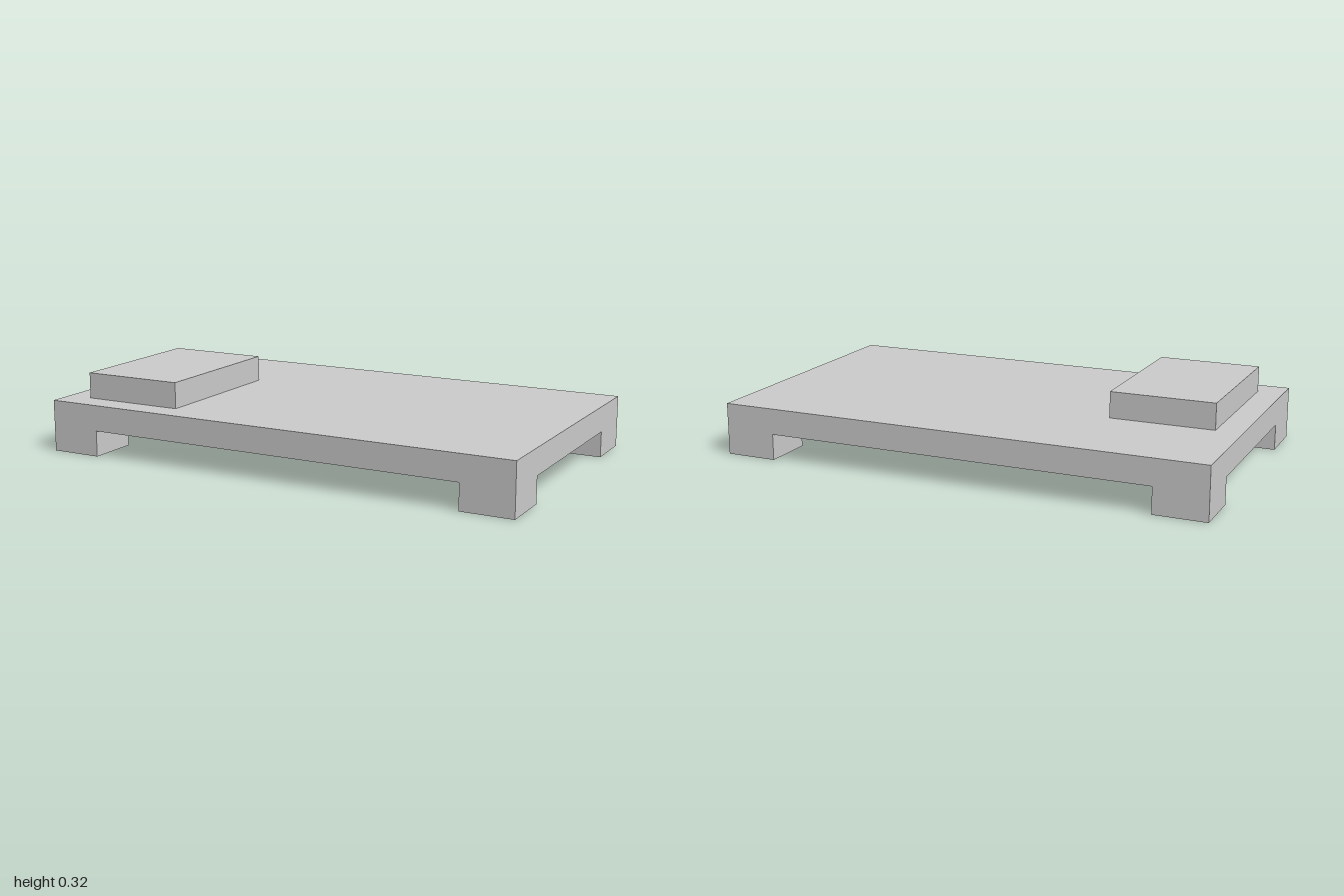
import * as THREE from 'three';

// Everything sits on a grid: 19 units long, 11 deep, 3 high
const U = 2 / 19;

export function createModel() {
  const model = new THREE.Group();
  model.name = 'lowBed';
  const material = new THREE.MeshStandardMaterial({ color: 0xcccccc, flatShading: true });

  // Box given by its size and the centre of its base, in grid units
  function addBox(name, [w, h, d], [x, y, z]) {
    const mesh = new THREE.Mesh(new THREE.BoxGeometry(w * U, h * U, d * U), material);
    mesh.position.set(x * U, (y + h / 2) * U, z * U);
    mesh.name = name;
    model.add(mesh);
  }

  // Flat slab
  addBox('slab', [19, 1, 11], [0, 1, 0]);

  // Raised block, off-centre at the right end
  addBox('pillow', [4, 1, 6], [-6.5, 2, 1.5]);

  // Four corner feet, flush with the slab edges
  for (const sx of [-1, 1]) {
    for (const sz of [-1, 1]) {
      const name = (sz > 0 ? 'front' : 'back') + (sx > 0 ? 'Left' : 'Right') + 'Foot';
      addBox(name, [2, 1, 2], [sx * 8.5, 0, sz * 4.5]);
    }
  }

  return model;
}
